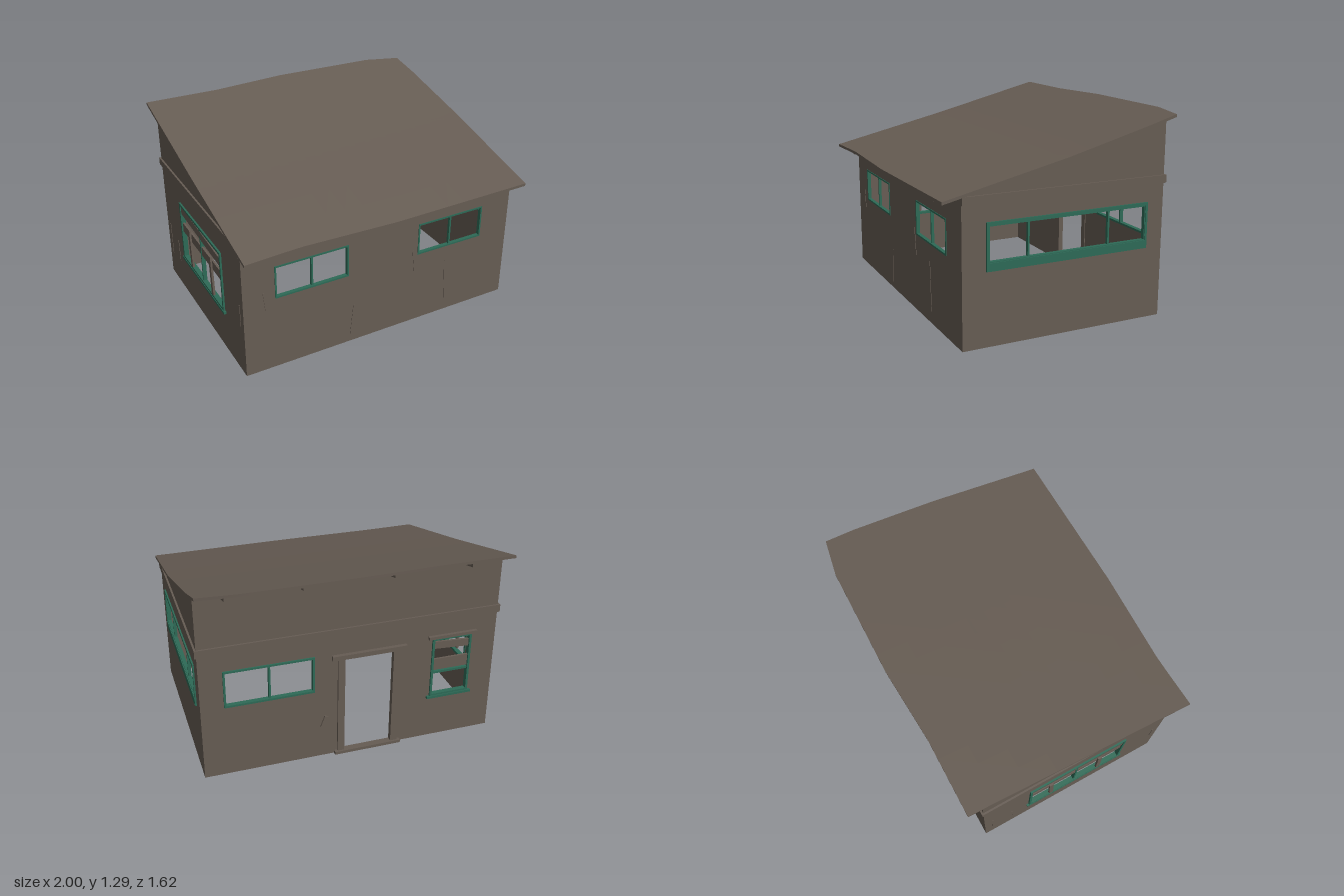
import * as THREE from 'three';

const wood = new THREE.MeshStandardMaterial({ color: 0x665c53 });
wood.name = 'weatheredWood';
const teal = new THREE.MeshStandardMaterial({ color: 0x2d6a56 });
teal.name = 'tealPaint';

const WALL = 0.015;
const ROOF = 0.018;

// Piecewise linear lookup through [position, value] pairs
function lookup(points, p) {
  for (let i = 1; i < points.length; i++) {
    const [a, va] = points[i - 1], [b, vb] = points[i];
    if (p <= b || i === points.length - 1) {
      return THREE.MathUtils.lerp(va, vb, THREE.MathUtils.clamp((p - a) / (b - a), 0, 1));
    }
  }
}

// Height of the roof's top surface at depth z
const roofY = (z) => 1.085 - z * (z > 0 ? 0.235 : 0.254);

// Box between two corners, tilted about its own middle
function bar(parent, name, mat, u0, u1, y0, y1, d0, d1, tilt = 0) {
  const m = new THREE.Mesh(new THREE.BoxGeometry(u1 - u0, y1 - y0, d1 - d0), mat);
  m.name = name;
  m.position.set((u0 + u1) / 2, (y0 + y1) / 2, (d0 + d1) / 2);
  m.rotation.z = tilt;
  parent.add(m);
}

// Wall panel with rectangular openings; local +z points outward
function wall(name, corners, openings) {
  const g = new THREE.Group();
  g.name = name;
  const shape = new THREE.Shape(corners.map(([u, y]) => new THREE.Vector2(u, y)));
  for (const [u0, u1, y0, y1] of openings) {
    shape.holes.push(new THREE.Path([[u0, y0], [u0, y1], [u1, y1], [u1, y0]]
      .map(([u, y]) => new THREE.Vector2(u, y))));
  }
  const geo = new THREE.ExtrudeGeometry(shape, { depth: WALL, bevelEnabled: false });
  geo.translate(0, 0, -WALL);
  const panel = new THREE.Mesh(geo, wood);
  panel.name = name + 'Panel';
  g.add(panel);
  return g;
}

// Window frame just inside an opening, with upright mullions
function frame(parent, [u0, u1, y0, y1], w, mullions = [], out = 0.008) {
  const d0 = -WALL - 0.005;
  bar(parent, 'windowFrameSide', teal, u0, u0 + w, y0, y1, d0, out);
  bar(parent, 'windowFrameSide', teal, u1 - w, u1, y0, y1, d0, out);
  bar(parent, 'windowFrameTop', teal, u0 + w, u1 - w, y1 - w, y1, d0, out);
  bar(parent, 'windowSill', teal, u0 + w, u1 - w, y0, y0 + w, d0, out);
  for (const u of mullions) {
    bar(parent, 'windowMullion', teal, u - 0.006, u + 0.006, y0 + w, y1 - w, d0, out - 0.006);
  }
}

// Narrow splinters on the boards: centre, height range, tilt
function splinters(parent, list) {
  for (const [u, y0, y1, tilt] of list) {
    bar(parent, 'splinter', wood, u - 0.004, u + 0.004, y0, y1, -0.002, 0.003, tilt);
  }
}

const band = (parent, u0, u1) => bar(parent, 'trimBand', wood, u0, u1, 0.86, 0.91, 0, 0.012);

function buildFront() {
  const windows = [[-0.76, -0.26, 0.51, 0.735], [0.25, 0.745, 0.51, 0.735]];
  const g = wall('frontWall', [[-0.97, 0], [0.965, 0], [0.965, 0.905], [-0.97, 0.905]], windows);
  for (const w of windows) frame(g, w, 0.011, [(w[0] + w[1]) / 2], 0.004);
  splinters(g, [[0.225, 0.37, 0.55, 0.12], [-0.83, 0.44, 0.57, 0.1],
    [-0.23, 0.04, 0.28, -0.1], [0.48, 0.08, 0.4, 0.05]]);
  g.position.z = 0.67;
  return g;
}

function buildBack() {
  const wide = [-0.82, -0.25, 0.49, 0.74];
  const door = [-0.06, 0.27, 0.02, 0.7];
  const small = [0.53, 0.8, 0.31, 0.735];
  const g = wall('backWall', [[-0.965, 0], [0.97, 0], [0.97, 1.24], [-0.965, 1.24]],
    [wide, door, small]);
  frame(g, wide, 0.013, [-0.535], 0.01);

  // Door surround
  for (const u of [-0.1, 0.265]) bar(g, 'doorPost', wood, u, u + 0.045, 0.02, 0.7, -0.02, 0.014);
  bar(g, 'doorHeader', wood, -0.14, 0.35, 0.7, 0.73, -0.02, 0.026);
  bar(g, 'doorThreshold', wood, -0.12, 0.33, 0, 0.02, -0.02, 0.026);

  // Small boarded window
  frame(g, small, 0.015, [], 0.012);
  bar(g, 'windowHeader', wood, 0.5, 0.83, 0.735, 0.755, 0, 0.022);
  bar(g, 'windowLedge', teal, 0.51, 0.82, 0.295, 0.312, 0, 0.018);
  bar(g, 'windowCrossbar', teal, 0.54, 0.79, 0.475, 0.49, -0.015, 0.004);
  bar(g, 'windowBoard', wood, 0.535, 0.795, 0.65, 0.7, -0.012, 0.002, -0.06);
  bar(g, 'windowBoard', wood, 0.535, 0.795, 0.5, 0.58, -0.012, 0.002);

  // Loose slat beside the door
  bar(g, 'looseSlat', wood, -0.2, -0.175, 0.22, 0.3, 0, 0.01, -0.35);
  band(g, -0.977, 0.982);
  g.rotation.y = Math.PI;
  g.position.z = -0.68;
  return g;
}

// Outline of a side wall from front edge f to back edge b, in local u
function sideCorners(f, b) {
  const pts = [[f, 0], [b, 0], [b, roofY(-0.68) - ROOF], [0, roofY(0) - ROOF],
    [f, roofY(0.67) - ROOF]];
  return f < b ? pts : pts.reverse();
}

function buildRight() {
  const opening = [-0.505, 0.55, 0.51, 0.73];
  const g = wall('rightWall', sideCorners(-0.67, 0.68), [opening]);
  frame(g, opening, 0.006, [-0.25, 0.29], 0.006);
  bar(g, 'outerFrameSide', teal, -0.52, -0.505, 0.46, 0.75, 0, 0.01);
  bar(g, 'outerFrameSide', teal, 0.55, 0.565, 0.46, 0.75, 0, 0.01);
  bar(g, 'outerFrameTop', teal, -0.505, 0.55, 0.73, 0.75, 0, 0.01);
  bar(g, 'outerSill', teal, -0.505, 0.55, 0.46, 0.51, 0, 0.012);
  band(g, -0.67, 0.69);
  g.rotation.y = Math.PI / 2;
  g.position.x = 0.965;
  return g;
}

function buildLeft() {
  const opening = [-0.345, 0.37, 0.3, 0.725];
  const g = wall('leftWall', sideCorners(0.67, -0.68), [opening]);
  frame(g, opening, 0.016, [0.01], 0.012);
  bar(g, 'windowLedge', teal, -0.36, 0.385, 0.285, 0.302, 0, 0.016);
  // Boards nailed over the window
  bar(g, 'upperBoard', wood, -0.34, 0.365, 0.63, 0.69, -0.01, 0.006, -0.045);
  bar(g, 'middleBoard', wood, -0.34, 0.365, 0.51, 0.575, -0.012, 0.002);
  for (const u of [-0.18, 0.19]) {
    bar(g, 'uprightSlat', wood, u - 0.015, u + 0.015, 0.32, 0.6, 0, 0.014, 0.04);
  }
  splinters(g, [[-0.62, 0.18, 0.42, 0], [-0.47, 0.2, 0.36, 0.05], [0.62, 0.35, 0.5, 0]]);
  band(g, -0.69, 0.67);
  g.rotation.y = -Math.PI / 2;
  g.position.x = -0.97;
  return g;
}

// Worn roof sheet: a box whose edges wander and whose height follows the pitch
function buildRoof() {
  const back = [[-1, -0.785], [-0.5, -0.78], [0, -0.81], [0.75, -0.8], [1, -0.755]];
  const front = [[-1, 0.808], [-0.65, 0.79], [0, 0.808], [1, 0.792]];
  const right = [[-0.8, 0.96], [-0.65, 0.98], [0, 1], [0.8, 0.985]];
  const geo = new THREE.BoxGeometry(2, ROOF, 2, 16, 1, 8);
  const p = geo.attributes.position;
  for (let i = 0; i < p.count; i++) {
    const x = p.getX(i), t = (p.getZ(i) + 1) / 2;
    const z = THREE.MathUtils.lerp(lookup(back, x), lookup(front, x), t);
    p.setXYZ(i, x > 0 ? x * lookup(right, z) : x, p.getY(i) - ROOF / 2 + roofY(z), z);
  }
  geo.computeVertexNormals();
  const roof = new THREE.Mesh(geo, wood);
  roof.name = 'roof';
  return roof;
}

// Rafters running from eave to eave under the roof
function buildRafters() {
  const g = new THREE.Group();
  g.name = 'rafters';
  for (const x of [-0.74, -0.24, 0.32, 0.78]) {
    const geo = new THREE.BoxGeometry(0.045, 0.025, 1.54, 1, 1, 2);
    const p = geo.attributes.position;
    for (let i = 0; i < p.count; i++) {
      p.setY(i, p.getY(i) + roofY(p.getZ(i)) - ROOF - 0.0125);
    }
    geo.computeVertexNormals();
    const rafter = new THREE.Mesh(geo, wood);
    rafter.name = 'rafter';
    rafter.position.x = x;
    g.add(rafter);
  }
  return g;
}

export function createModel() {
  const model = new THREE.Group();
  model.name = 'shed';
  model.add(buildFront(), buildBack(), buildRight(), buildLeft(), buildRoof(), buildRafters());
  return model;
}
